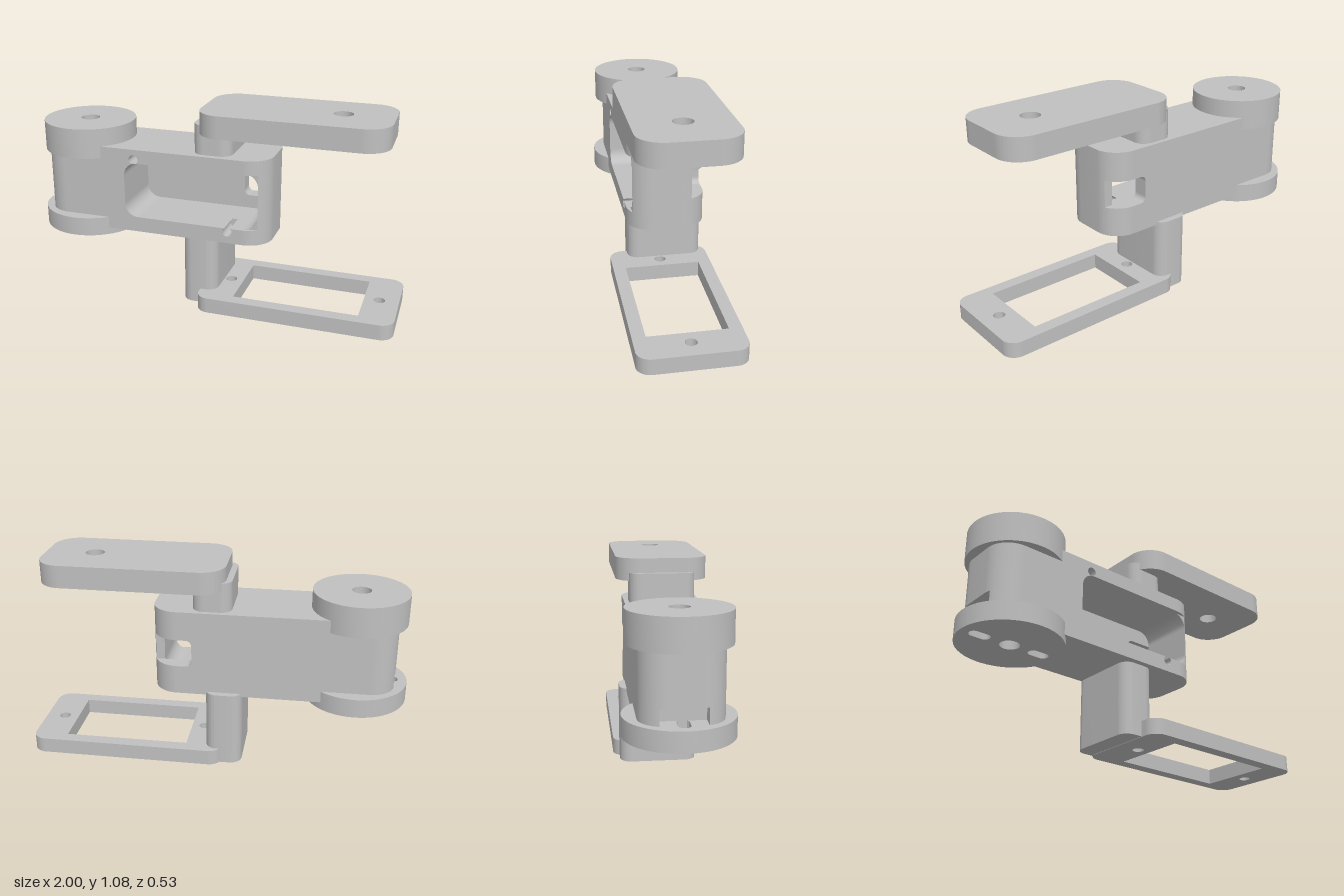
import * as THREE from 'three';
import { toCreasedNormals } from 'three/addons/utils/BufferGeometryUtils.js';

const PI = Math.PI;
const HUB_X = -0.733, BODY_Z = 0.2, END_R = 0.13;
const END_X = 0.196, START_X = -0.802; // centres of the body's corner roundings
const BODY_Y0 = 0.388, BODY_Y1 = 0.845;
const CAVITY = { x0: -0.455, x1: 0.27, y0: 0.47, y1: 0.77, z: -0.12 };

export function createModel() {
  const group = new THREE.Group();
  const grey = new THREE.MeshStandardMaterial({ color: 0xc0c0c0 });
  grey.name = 'plain grey';

  const add = (name, geometry) => {
    const mesh = new THREE.Mesh(toCreasedNormals(geometry, 0.5), grey);
    mesh.name = name;
    group.add(mesh);
  };
  // Shape drawn in x and z, raised from y0 to y1
  const plan = (name, shape, y0, y1) => {
    const g = new THREE.ExtrudeGeometry(shape, { depth: y1 - y0, bevelEnabled: false, curveSegments: 24 });
    add(name, g.rotateX(PI / 2).translate(0, y1, 0));
  };
  // Shape drawn in x and y, running from z0 to z1
  const profile = (name, shape, z0, z1) => {
    const g = new THREE.ExtrudeGeometry(shape, { depth: z1 - z0, bevelEnabled: false, curveSegments: 24 });
    add(name, g.translate(0, 0, z0));
  };
  const polygon = (pts) => new THREE.Shape(pts.map(([x, y]) => new THREE.Vector2(x, y)));
  const rect = (x0, x1, z0, z1) => polygon([[x0, z0], [x1, z0], [x1, z1], [x0, z1]]);
  const circle = (x, z, r) => new THREE.Shape().absarc(x, z, r, 0, 2 * PI, false);
  const rounded = (x0, x1, z0, z1, r) => {
    const s = new THREE.Shape();
    s.absarc(x1 - r, z0 + r, r, -PI / 2, 0, false);
    s.absarc(x1 - r, z1 - r, r, 0, PI / 2, false);
    s.absarc(x0 + r, z1 - r, r, PI / 2, PI, false);
    s.absarc(x0 + r, z0 + r, r, PI, 1.5 * PI, false);
    s.closePath();
    return s;
  };
  const withHoles = (shape, ...holes) => {
    shape.holes.push(...holes);
    return shape;
  };
  const bore = () => circle(HUB_X, 0, 0.05);
  const slot = (x) => rounded(x - 0.055, x + 0.055, -0.03, 0.03, 0.028);

  // Hub discs
  plan('upperDisc', withHoles(circle(HUB_X, 0, 0.248), bore()), 0.78, 0.94);
  plan('lowerDisc', withHoles(circle(HUB_X, 0, 0.267), bore(), slot(HUB_X - 0.165), slot(HUB_X + 0.165)), 0.35, 0.45);

  // Hub column with rounded corners, notched on its outer side near the bottom
  const NOTCH = { x: -0.85, z: 0.11 };
  const hub = (notched) => {
    const a = notched ? Math.asin((NOTCH.z - BODY_Z + END_R) / END_R) : 0;
    const s = new THREE.Shape();
    s.moveTo(-0.5, -BODY_Z);
    s.lineTo(-0.5, BODY_Z);
    s.lineTo(START_X, BODY_Z);
    s.absarc(START_X, BODY_Z - END_R, END_R, PI / 2, PI - a, false);
    if (notched) {
      s.lineTo(NOTCH.x, NOTCH.z);
      s.lineTo(NOTCH.x, -NOTCH.z);
      s.holes.push(slot(HUB_X + 0.165));
    }
    s.absarc(START_X, -BODY_Z + END_R, END_R, PI + a, 1.5 * PI, false);
    s.closePath();
    return withHoles(s, bore());
  };
  plan('hubBase', hub(true), BODY_Y0, 0.53);
  plan('hubColumn', hub(false), 0.53, BODY_Y1);

  // Top and bottom walls of the body, each with a small screw groove open to the cavity
  const wall = (name, inner, outer, cx) => {
    const s = Math.sign(outer - inner), x0 = cx - 0.04, x1 = cx + 0.04;
    const y0 = Math.min(inner, outer), y1 = Math.max(inner, outer);
    const end = new THREE.Shape();
    end.moveTo(x1, -BODY_Z);
    end.lineTo(END_X, -BODY_Z);
    end.absarc(END_X, -BODY_Z + END_R, END_R, -PI / 2, 0, false);
    end.absarc(END_X, BODY_Z - END_R, END_R, 0, PI / 2, false);
    end.lineTo(x1, BODY_Z);
    end.closePath();
    plan(name + 'Start', rect(-0.5, x0, -BODY_Z, BODY_Z), y0, y1);
    plan(name + 'Middle', rect(x0, x1, -BODY_Z, 0.06), y0, y1);
    plan(name + 'End', end, y0, y1);
    const pts = [[x0, inner]], r = 0.025, a = Math.asin(0.8);
    for (let i = 0; i <= 20; i++) {
      const t = -a + (PI + 2 * a) * i / 20;
      pts.push([cx - Math.cos(t) * r, inner + s * (0.02 + Math.sin(t) * r)]);
    }
    pts.push([x1, inner], [x1, outer], [x0, outer]);
    profile(name + 'ScrewGroove', polygon(pts), 0.06, BODY_Z);
  };
  wall('topWall', CAVITY.y1, BODY_Y1, -0.4);
  wall('bottomWall', CAVITY.y0, BODY_Y0, 0.115);

  // Body sides around the cavity; the middle level leaves a window at the rear corner
  const WIN = { x: 0.115, y0: 0.543, y1: 0.69 };
  const cut = Math.acos((CAVITY.x1 - END_X) / END_R);
  const sides = () => {
    const s = new THREE.Shape();
    s.moveTo(-0.5, -BODY_Z);
    s.lineTo(END_X, -BODY_Z);
    s.absarc(END_X, -BODY_Z + END_R, END_R, -PI / 2, 0, false);
    s.absarc(END_X, BODY_Z - END_R, END_R, 0, cut, false);
    s.lineTo(CAVITY.x1, CAVITY.z);
    s.lineTo(CAVITY.x0, CAVITY.z);
    s.lineTo(CAVITY.x0, BODY_Z);
    s.lineTo(-0.5, BODY_Z);
    s.closePath();
    return s;
  };
  plan('lowerSides', sides(), CAVITY.y0, WIN.y0);
  plan('upperSides', sides(), WIN.y1, CAVITY.y1);
  plan('backWall', polygon([[-0.5, -BODY_Z], [WIN.x, -BODY_Z], [WIN.x, CAVITY.z],
    [CAVITY.x0, CAVITY.z], [CAVITY.x0, BODY_Z], [-0.5, BODY_Z]]), WIN.y0, WIN.y1);
  const rear = Math.asin((CAVITY.z + BODY_Z - END_R) / END_R);
  const endWall = new THREE.Shape();
  endWall.moveTo(CAVITY.x1, CAVITY.z);
  endWall.lineTo(END_X + END_R * Math.cos(rear), CAVITY.z);
  endWall.absarc(END_X, -BODY_Z + END_R, END_R, rear, 0, false);
  endWall.absarc(END_X, BODY_Z - END_R, END_R, 0, cut, false);
  endWall.closePath();
  plan('endWall', endWall, WIN.y0, WIN.y1);

  // Concave fillets in the corners of the cavity and window
  const fillet = (name, x, y, sx, sy, r, z0, z1) => {
    const pts = [[x, y]];
    for (let i = 0; i <= 10; i++) {
      const t = PI / 2 * i / 10;
      pts.push([x + sx * r * (1 - Math.sin(t)), y + sy * r * (1 - Math.cos(t))]);
    }
    profile(name, polygon(pts), z0, z1);
  };
  for (const [y, sy] of [[CAVITY.y0, 1], [CAVITY.y1, -1]]) {
    fillet('cavityFilletLeft', CAVITY.x0, y, 1, sy, 0.07, CAVITY.z, BODY_Z);
    fillet('cavityFilletRight', CAVITY.x1, y, -1, sy, 0.07, CAVITY.z, 0.177);
  }
  for (const [y, sy] of [[WIN.y0, 1], [WIN.y1, -1]])
    fillet('windowFillet', WIN.x, y, 1, sy, 0.03, -BODY_Z, CAVITY.z);

  // Upper arm: short post and solid plate
  plan('upperPost', rounded(-0.087, 0.117, -0.175, 0.168, 0.06), 0.84, 1.0);
  plan('upperPlate', withHoles(rounded(-0.055, 0.91, -0.24, 0.242, 0.13), circle(0.652, 0, 0.05)), 0.957, 1.075);

  // Lower arm: long post and open frame
  plan('lowerPost', rounded(-0.15, 0.042, -0.235, 0.168, 0.06), 0.002, 0.405);
  plan('lowerFrame', withHoles(rounded(-0.045, 0.998, -0.267, 0.267, 0.07),
    rect(0.15, 0.815, -0.2, 0.2), circle(0.08, 0, 0.03), circle(0.895, 0, 0.03)), 0, 0.083);

  return group;
}
